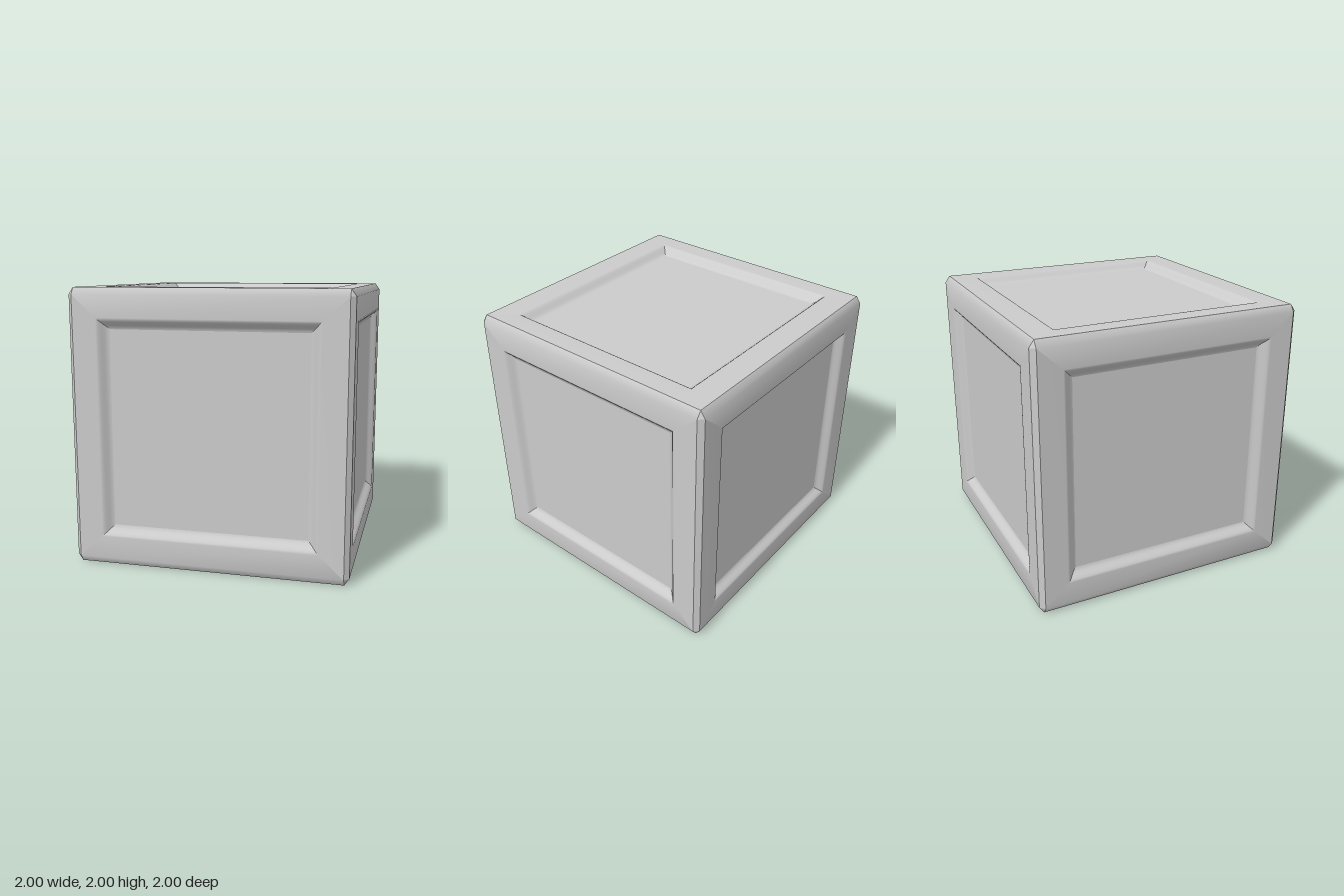
import * as THREE from 'three';

const material = new THREE.MeshStandardMaterial({ color: 0xcccccc });
const IN = 0.965;   // where the edge chamfers begin
const SIDE = 0.95;  // half height of the side faces below the chamfer
const DEPTH = 0.055;
const SLOPE = 0.08;

function makeMesh(name, positions, index) {
  const g = new THREE.BufferGeometry();
  g.setAttribute('position', new THREE.Float32BufferAttribute(positions, 3));
  if (index) g.setIndex(index);
  g.computeVertexNormals();
  const m = new THREE.Mesh(g, material);
  m.name = name;
  return m;
}

// Four corners of a rectangular ring, counter-clockwise seen from +z
const corners = ([w, h, z]) => [[-w, -h, z], [w, -h, z], [w, h, z], [-w, h, z]];

// Rings of the recess: an S-shaped slope from the frame down to the panel
function recessRings(w, h) {
  const rings = [];
  for (let i = 0; i <= 6; i++) {
    const t = i / 6;
    rings.push([w - SLOPE * t, h - SLOPE * t, 1 - DEPTH * t * t * (3 - 2 * t)]);
  }
  return rings;
}

// One face: mitred frame with a sunken panel; chamfer joins its top and bottom
function makeFace(name, frameHeight, w, h, chamfered) {
  const face = new THREE.Group();
  face.name = name;
  const recess = recessRings(w, h);
  const rings = [[IN, frameHeight, 1], ...recess];
  for (let k = 0; k < 4; k++) {
    const rows = chamfered && k % 2 === 0 ? [[IN, 1, IN], ...rings] : rings;
    const pos = [], idx = [];
    rows.forEach((ring, i) => {
      const c = corners(ring);
      pos.push(...c[k], ...c[(k + 1) % 4]);
      if (i > 0) {
        const a = 2 * i - 2, b = 2 * i;
        idx.push(a, a + 1, b + 1, a, b + 1, b);
      }
    });
    face.add(makeMesh('frameRail', pos, idx));
  }
  face.add(makeMesh('panel', corners(recess[recess.length - 1]).flat(), [0, 1, 2, 0, 2, 3]));
  return face;
}

// Flat vertical chamfer with a small triangle at each end
function makeCornerEdge() {
  const aLo = [IN, -SIDE, 1], aHi = [IN, SIDE, 1];
  const bLo = [1, -SIDE, IN], bHi = [1, SIDE, IN];
  const top = [IN, 1, IN], bottom = [IN, -1, IN];
  return makeMesh('cornerEdge', [
    aLo, bLo, bHi, aLo, bHi, aHi, aHi, bHi, top, bottom, bLo, aLo,
  ].flat());
}

export function createModel() {
  const model = new THREE.Group();
  model.name = 'panelledCrate';
  const body = new THREE.Group();
  body.name = 'body';
  body.position.y = 1;
  model.add(body);

  // Side faces and vertical edges
  ['front', 'left', 'back', 'right'].forEach((side, i) => {
    const face = makeFace(side + 'Face', SIDE, 0.79, 0.79, true);
    const edge = makeCornerEdge();
    face.rotation.y = edge.rotation.y = i * Math.PI / 2;
    body.add(face, edge);
  });

  // Top and bottom faces
  for (const [name, s] of [['topFace', -1], ['bottomFace', 1]]) {
    const face = makeFace(name, IN, 0.825, 0.79, false);
    face.rotation.x = s * Math.PI / 2;
    body.add(face);
  }
  return model;
}
